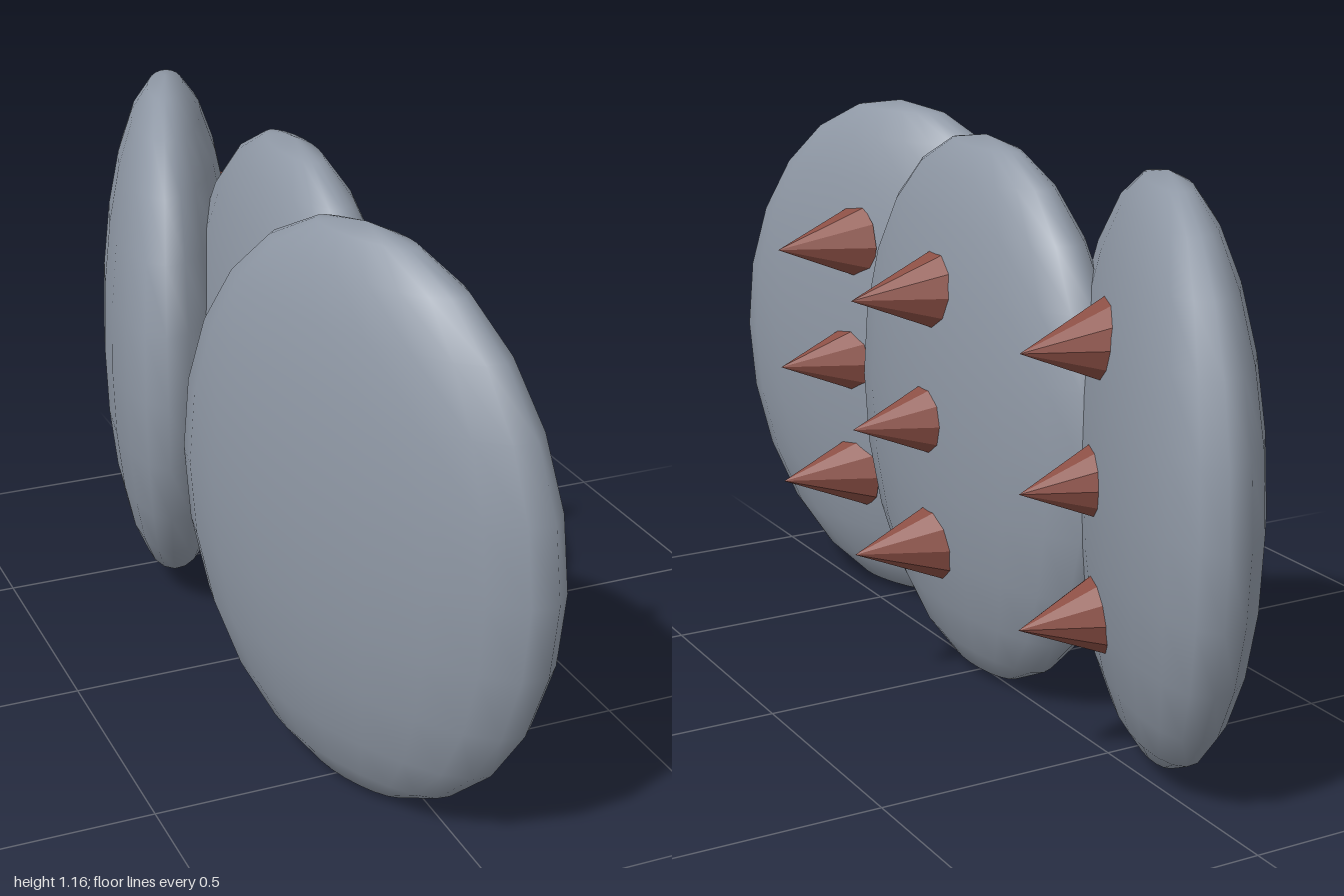
import * as THREE from 'three';

export function createModel() {
  const model = new THREE.Group();
  model.name = 'spikedPlates';

  const stone = new THREE.MeshStandardMaterial({ color: 0x8f98a5 });
  stone.name = 'blue grey';
  const rust = new THREE.MeshStandardMaterial({ color: 0x8c4f45, flatShading: true });
  rust.name = 'rust red';

  const midY = 0.584;
  const rowGap = 0.268;

  // Flattened ellipsoid plate, thin along x
  const plateGeometry = new THREE.SphereGeometry(1, 20, 12).scale(0.152, 0.58, 0.49);

  // Cone pointing to +x, with its tip at the origin
  const spikeLength = 0.2;
  const spikeGeometry = new THREE.ConeGeometry(0.086, spikeLength, 10)
    .translate(0, -spikeLength / 2, 0)
    .rotateZ(-Math.PI / 2);

  // One plate with its column of three spikes
  function addPlate(name, x, z, turn, tipX, tipZ) {
    const group = new THREE.Group();
    group.name = name;
    const plate = new THREE.Mesh(plateGeometry, stone);
    plate.name = name + 'Body';
    plate.position.set(x, midY, z);
    plate.rotation.y = turn;
    group.add(plate);
    for (const row of [-1, 0, 1]) {
      const spike = new THREE.Mesh(spikeGeometry, rust);
      spike.name = name + 'Spike';
      spike.position.set(tipX, midY + row * rowGap, tipZ);
      group.add(spike);
    }
    model.add(group);
  }

  addPlate('middlePlate', -0.005, 0, 0, 0.305, 0);
  addPlate('frontPlate', -0.087, 0.538, 0.35, 0.225, 0.532);
  addPlate('backPlate', -0.087, -0.538, -0.35, 0.225, -0.532);

  return model;
}
